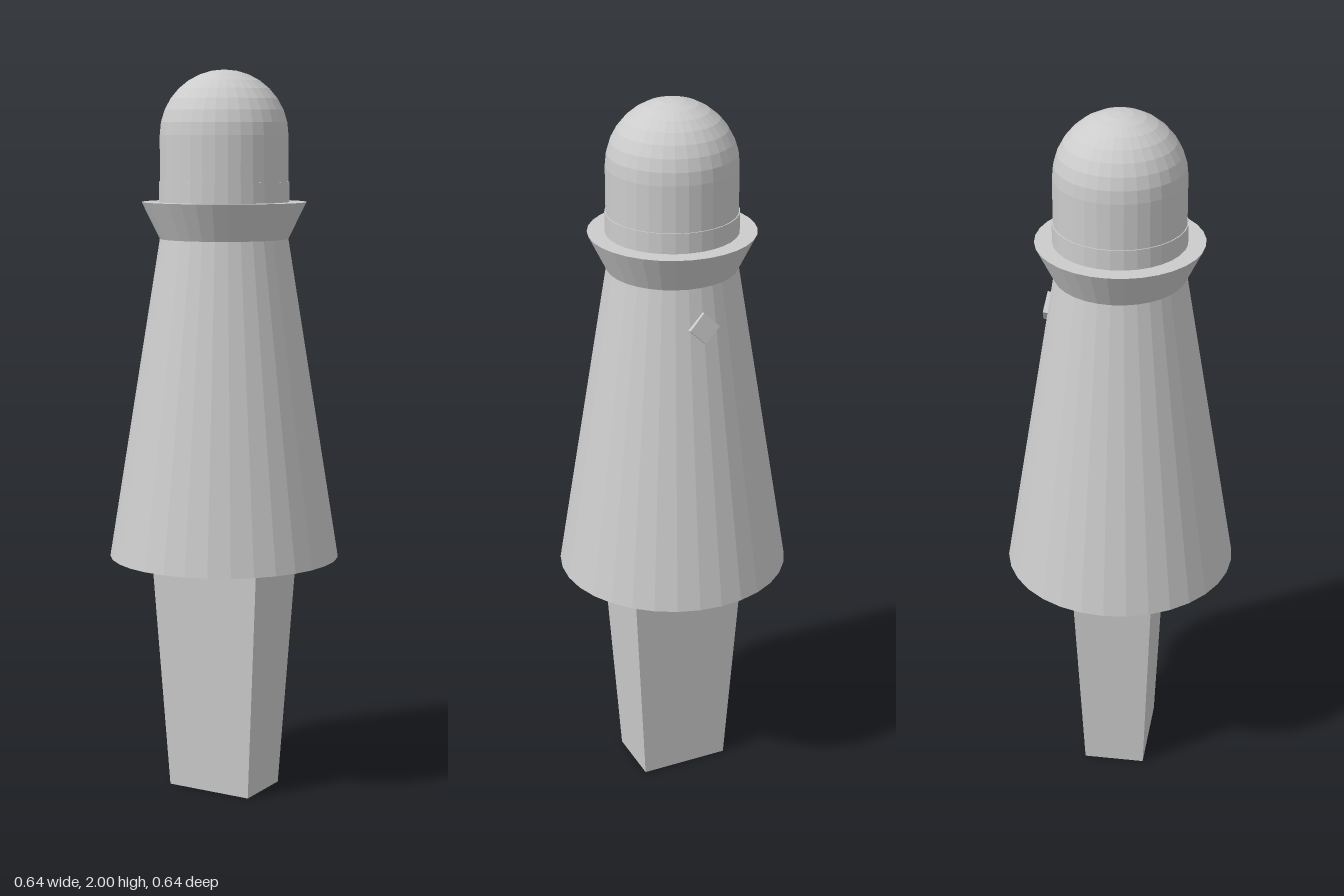
import * as THREE from 'three';

const SIDES = 32;

export function createModel() {
  const model = new THREE.Group();
  const grey = new THREE.MeshStandardMaterial({ color: 0xcccccc, flatShading: true });
  grey.name = 'light grey';

  const add = (name, geometry, y) => {
    const mesh = new THREE.Mesh(geometry, grey);
    mesh.name = name;
    mesh.position.y = y;
    model.add(mesh);
    return mesh;
  };
  // Round section between two heights
  const section = (name, rBottom, rTop, y0, y1) =>
    add(name, new THREE.CylinderGeometry(rTop, rBottom, y1 - y0, SIDES), (y0 + y1) / 2);

  // Tapered rectangular peg: a box whose lower corners move inwards
  const pegHeight = 0.67;
  const pegGeometry = new THREE.BoxGeometry(0.336, pegHeight, 0.228);
  const p = pegGeometry.attributes.position;
  for (let i = 0; i < p.count; i++) {
    if (p.getY(i) < 0) p.setXYZ(i, p.getX(i) * 0.755, p.getY(i), p.getZ(i) * 0.755);
  }
  add('peg', pegGeometry, pegHeight / 2);

  // Conical body, flared collar and neck
  section('body', 0.318, 0.176, 0.665, 1.545);
  section('collar', 0.176, 0.225, 1.545, 1.645);
  section('neck', 0.178, 0.178, 1.645, 1.7);

  // Rounded cap
  section('capWall', 0.175, 0.175, 1.7, 1.825);
  add('capDome', new THREE.SphereGeometry(0.175, SIDES, 8, 0, Math.PI * 2, 0, Math.PI / 2), 1.825);

  // Small diamond stud lying against the sloping back
  const stud = add('backStud', new THREE.BoxGeometry(0.06, 0.06, 0.03), 1.438);
  stud.position.z = -0.187;
  stud.rotation.set(0.16, 0, Math.PI / 4);

  return model;
}
